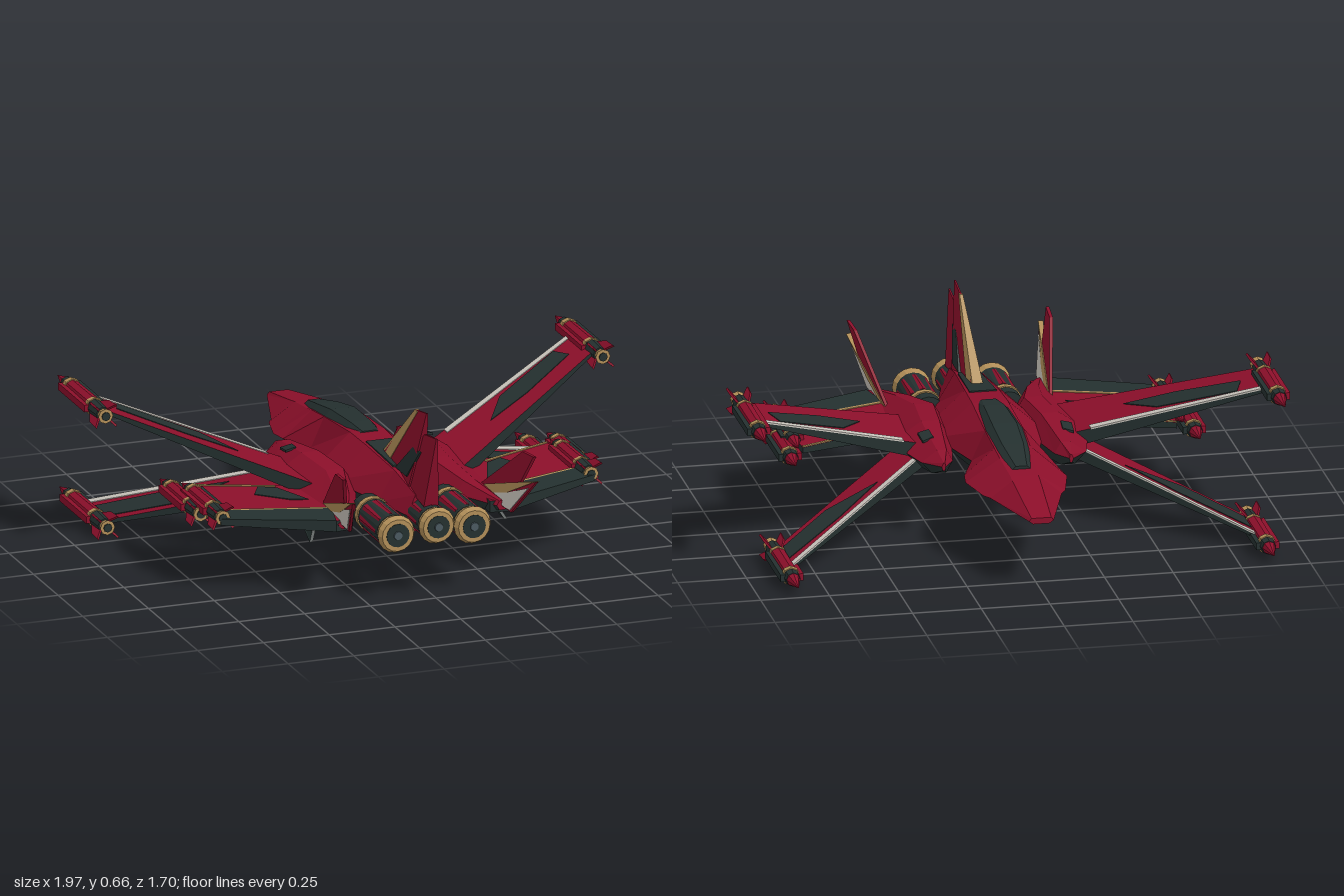
import * as THREE from 'three';

const mat = (name, color) => {
  const m = new THREE.MeshStandardMaterial({ color, flatShading: true });
  m.name = name;
  return m;
};

export function createModel() {
  const red = mat('crimson', 0x8c0f2a), dark = mat('charcoal', 0x24302f), tan = mat('bronze', 0xb08d57);
  const white = mat('offWhite', 0xc9c4bc), grey = mat('steel', 0x4a5960);
  const root = new THREE.Group();
  root.name = 'starfighter';

  // closed solid from convex faces [material, points], turned outward by its signed volume
  function solid(name, faces, parent = root) {
    const mats = [...new Set(faces.map(f => f[0]))];
    const tris = [];
    let vol = 0;
    for (const [m, p] of faces) for (let i = 1; i + 1 < p.length; i++) {
      const [a, b, c] = [p[0], p[i], p[i + 1]].map(q => new THREE.Vector3(...q));
      vol += a.dot(b.clone().cross(c));
      tris.push([m, a, b, c]);
    }
    const pos = [], geo = new THREE.BufferGeometry();
    mats.forEach((m, k) => {
      const start = pos.length / 3;
      for (const [tm, a, b, c] of tris) if (tm === m)
        for (const v of vol > 0 ? [a, b, c] : [a, c, b]) pos.push(v.x, v.y, v.z);
      geo.addGroup(start, pos.length / 3 - start, k);
    });
    geo.setAttribute('position', new THREE.Float32BufferAttribute(pos, 3));
    geo.computeVertexNormals();
    const mesh = new THREE.Mesh(geo, mats.length > 1 ? mats : mats[0]);
    mesh.name = name;
    parent.add(mesh);
    return mesh;
  }
  // skin through equal rings; sideMat picks the colour of each strip
  function loft(name, rings, sideMat, parent) {
    const n = rings[0].length, faces = [];
    for (let i = 0; i + 1 < rings.length; i++) for (let j = 0; j < n; j++) {
      const k = (j + 1) % n;
      faces.push([sideMat(j, i), [rings[i][j], rings[i][k], rings[i + 1][k], rings[i + 1][j]]]);
    }
    faces.push([sideMat(0, 0), [...rings[0]].reverse()], [sideMat(0, 0), rings.at(-1)]);
    return solid(name, faces, parent);
  }
  // slab between two matching outlines
  function slab(name, a, b, mA, mB = mA, mEdge = mA, parent = root) {
    const faces = [[mA, a], [mB, [...b].reverse()]];
    a.forEach((p, i) => {
      const k = (i + 1) % a.length;
      faces.push([mEdge, [p, b[i], b[k], a[k]]]);
    });
    return solid(name, faces, parent);
  }
  // round section along z
  function tube(name, m, rFront, rBack, x, y, z1, z2, parent, sides = 12) {
    const g = new THREE.CylinderGeometry(rBack, rFront, z2 - z1, sides).rotateX(Math.PI / 2);
    const mesh = new THREE.Mesh(g, m);
    mesh.position.set(x, y, (z1 + z2) / 2);
    mesh.name = name;
    parent.add(mesh);
  }

  // hull: z, top half width, top y, waist half width, waist y, keel half width, keel y
  const hull = [
    [-0.85, 0.036, 0.284, 0.045, 0.273, 0.03, 0.262],
    [-0.58, 0.05, 0.337, 0.13, 0.277, 0.06, 0.241],
    [-0.55, 0.05, 0.343, 0.15, 0.278, 0.06, 0.238],
    [-0.41, 0.06, 0.365, 0.185, 0.283, 0.06, 0.217],
    [-0.34, 0.065, 0.38, 0.175, 0.285, 0.06, 0.208],
    [-0.2, 0.07, 0.4, 0.12, 0.29, 0.06, 0.185],
    [0.05, 0.065, 0.42, 0.2, 0.3, 0.05, 0.163],
    [0.2, 0.06, 0.418, 0.19, 0.3, 0.05, 0.166],
    [0.45, 0.045, 0.4, 0.11, 0.29, 0.05, 0.195],
    [0.62, 0.03, 0.36, 0.06, 0.285, 0.04, 0.225],
  ];
  loft('hull', hull.map(([z, a, t, w, yw, b, k]) =>
    [[-a, t, z], [a, t, z], [w, yw, z], [b, k, z], [-b, k, z], [-w, yw, z]]),
  j => (j >= 2 && j <= 4 ? dark : red));

  // canopy and its raised roof
  const canopy = [[-0.5, 0.034, 0.35, 0.362], [-0.35, 0.064, 0.372, 0.396], [-0.2, 0.074, 0.392, 0.424],
    [-0.02, 0.062, 0.405, 0.432], [0.07, 0.042, 0.415, 0.424]];
  loft('canopy', canopy.map(([z, w, y, t]) =>
    [[-w * 0.6, t, z], [w * 0.6, t, z], [w, y, z], [w * 0.8, y - 0.05, z], [-w * 0.8, y - 0.05, z], [-w, y, z]]), () => dark);

  // central fin: two swept leaves, points as [z, y, half thickness]
  const centreFin = (name, pts, m) =>
    slab(name, pts.map(([z, y, t]) => [t, y, z]), pts.map(([z, y, t]) => [-t, y, z]), m);
  centreFin('tailFin', [[0.66, 0.675, 0.003], [0.55, 0.655, 0.003], [0.26, 0.4, 0.022], [0.56, 0.37, 0.034]], red);
  centreFin('tailFinEdge', [[0.55, 0.657, 0.006], [0.575, 0.655, 0.006], [0.34, 0.4, 0.027], [0.25, 0.405, 0.02]], tan);
  centreFin('rearTailFin', [[0.76, 0.61, 0.003], [0.64, 0.59, 0.003], [0.4, 0.38, 0.03], [0.7, 0.34, 0.028]], red);
  centreFin('tailFinPanel', [[0.63, 0.52, 0.018], [0.56, 0.52, 0.018], [0.43, 0.405, 0.036], [0.54, 0.405, 0.036]], dark);
  slab('spinePanel', [[-0.05, 0.423, 0.17], [0.05, 0.423, 0.17], [0.04, 0.409, 0.42], [-0.04, 0.409, 0.42]],
    [[-0.05, 0.414, 0.17], [0.05, 0.414, 0.17], [0.04, 0.4, 0.42], [-0.04, 0.4, 0.42]], dark);

  // engine with bands and a wide nozzle
  function engine(name, x, y, z1, z2, r) {
    const g = new THREE.Group();
    g.name = name;
    root.add(g);
    tube('engineBody', dark, r * 0.85, r * 0.88, x, y, z1, z2 - 0.05, g, 16);
    tube('engineBand', tan, r * 0.92, r * 0.92, x, y, z1 + 0.05, z1 + 0.075, g, 16);
    tube('engineShell', red, r * 0.9, r * 0.9, x, y, z1 + 0.09, z2 - 0.07, g, 8);
    tube('nozzle', tan, r * 0.86, r, x, y, z2 - 0.05, z2 - 0.02, g, 16);
    tube('nozzleRim', tan, r, r * 0.85, x, y, z2 - 0.02, z2, g, 16);
    tube('nozzleMouth', dark, r * 0.62, r * 0.62, x, y, z2 - 0.02, z2 + 0.002, g, 16);
    tube('nozzleCore', grey, r * 0.3, r * 0.22, x, y, z2 - 0.01, z2 + 0.006, g, 10);
  }
  engine('centreEngine', 0, 0.285, 0.45, 0.775, 0.068);

  // wingtip pod with cone, bands and crossed tail fins
  function pod(name, x, y, z, len) {
    const g = new THREE.Group();
    g.name = name;
    g.position.set(x, y, z);
    root.add(g);
    const parts = [['podNose', red, 0.002, 0.024, 0, 0.18], ['podCollar', dark, 0.026, 0.03, 0.18, 0.25],
      ['podBand', tan, 0.034, 0.034, 0.25, 0.3], ['podBody', red, 0.03, 0.032, 0.3, 0.72],
      ['podRearBand', tan, 0.034, 0.034, 0.72, 0.76], ['podTail', dark, 0.03, 0.026, 0.76, 0.93],
      ['podNozzle', tan, 0.02, 0.028, 0.93, 0.99], ['podMouth', dark, 0.016, 0.016, 0.97, 1]];
    for (const [n, m, a, b, p, q] of parts) tube(n, m, a, b, 0, 0, p * len, q * len, g, 8);
    for (const s of [-1, 1]) {
      const rail = new THREE.Mesh(new THREE.BoxGeometry(0.018, 0.026, len * 0.55), s > 0 ? dark : red);
      rail.position.set(s * 0.033, 0, len * 0.5);
      rail.name = 'podRail';
      g.add(rail);
    }
    for (let i = 0; i < 4; i++) {
      const t = 0.004, o = [[0.02, 0.74], [0.052, 0.87], [0.055, 1], [0.02, 0.93]];
      const fin = slab('podFin', o.map(([r, f]) => [r, t, f * len]), o.map(([r, f]) => [r, -t, f * len]), red, red, red, g);
      fin.rotation.z = Math.PI / 4 + i * Math.PI / 2;
    }
  }

  // wing: in/out = [x, y, half thickness]; outline and painted patches as [x, z]
  function wing(name, s, inner, outer, outline, patches) {
    const g = new THREE.Group();
    g.name = name;
    root.add(g);
    const at = (side, lift) => ([x, z]) => {
      const u = (x - inner[0]) / (outer[0] - inner[0]);
      const y = inner[1] + (outer[1] - inner[1]) * u, t = inner[2] + (outer[2] - inner[2]) * u;
      return [s * x, y + side * t + lift, z];
    };
    slab('wingPanel', outline.map(at(1, 0)), outline.map(at(-1, 0)), red, dark, dark, g);
    for (const [n, m, p] of patches) slab(n, p.map(at(1, 0.003)), p.map(at(1, -0.003)), m, m, m, g);
  }

  for (const s of [1, -1]) {
    const side = s > 0 ? 'left' : 'right';
    engine(side + 'Engine', s * 0.145, 0.262, 0.43, 0.75, 0.07);

    // shoulder: z, inner x, outer x, top y, bottom y
    const shoulder = [[-0.26, 0.225, 0.24, 0.31, 0.28], [-0.19, 0.185, 0.3, 0.335, 0.25], [0.05, 0.14, 0.36, 0.365, 0.215],
      [0.25, 0.12, 0.345, 0.36, 0.21], [0.45, 0.19, 0.33, 0.33, 0.235], [0.62, 0.28, 0.325, 0.3, 0.265]];
    loft(side + 'Shoulder', shoulder.map(([z, a, b, t, k]) => {
      const w = b - a, m = (t + k) / 2;
      return [[a + w * 0.2, t, z], [a + w * 0.5, t, z], [b, m, z], [a + w * 0.65, k, z], [a + w * 0.2, k, z], [a, m, z]]
        .map(([x, y, q]) => [s * x, y, q]);
    }), j => (j >= 2 && j <= 4 ? dark : red));
    const vent = [[0.235, 0.349, -0.09], [0.275, 0.337, -0.1], [0.28, 0.347, -0.03], [0.24, 0.357, -0.03]];
    slab(side + 'Vent', vent.map(([x, y, z]) => [s * x, y + 0.004, z]), vent.map(([x, y, z]) => [s * x, y - 0.004, z]), dark);

    wing(side + 'UpperWing', s, [0.28, 0.29, 0.028], [0.93, 0.54, 0.007],
      [[0.28, -0.05], [0.93, -0.36], [0.93, -0.14], [0.28, 0.27]],
      [['leadingStrip', white, [[0.34, -0.08], [0.93, -0.362], [0.93, -0.335], [0.34, -0.045]]],
        ['darkPanel', dark, [[0.48, 0.02], [0.57, -0.13], [0.83, -0.28], [0.86, -0.2], [0.65, -0.06]]]]);
    wing(side + 'LowerWing', s, [0.26, 0.265, 0.024], [0.85, 0.055, 0.007],
      [[0.26, -0.07], [0.85, -0.56], [0.85, -0.33], [0.26, 0.15]],
      [['leadingStrip', white, [[0.3, -0.104], [0.85, -0.562], [0.85, -0.528], [0.3, -0.07]]],
        ['darkPanel', dark, [[0.45, -0.15], [0.62, -0.31], [0.84, -0.48], [0.84, -0.36], [0.65, -0.2]]]]);
    wing(side + 'RearWing', s, [0.26, 0.275, 0.022], [0.71, 0.285, 0.01],
      [[0.26, 0.23], [0.68, 0.05], [0.71, 0.46], [0.33, 0.62], [0.26, 0.6]],
      [['leadingTrim', tan, [[0.4, 0.172], [0.68, 0.052], [0.68, 0.064], [0.4, 0.186]]],
        ['darkPanel', dark, [[0.4, 0.2], [0.46, 0.165], [0.5, 0.24], [0.4, 0.34], [0.34, 0.36]]],
        ['trailingTrim', tan, [[0.3, 0.47], [0.7, 0.345], [0.7, 0.358], [0.3, 0.485]]],
        ['trailingPanel', dark, [[0.3, 0.485], [0.7, 0.358], [0.71, 0.46], [0.33, 0.62]]]]);

    pod(side + 'UpperPod', s * 0.945, 0.542, -0.565, 0.49);
    pod(side + 'LowerPod', s * 0.865, 0.052, -0.76, 0.49);
    pod(side + 'RearOuterPod', s * 0.735, 0.278, -0.09, 0.42);
    pod(side + 'RearInnerPod', s * 0.7, 0.3, 0.04, 0.42);

    // canted fin leaves, points as [z, y]
    const leaf = (name, m, t, pts) => {
      const out = d => ([z, y]) => [s * (0.3 + (y - 0.29) * 0.22 + (z - 0.5) * 0.05 + d), y, z];
      slab(side + name, pts.map(out(t)), pts.map(out(-t)), m);
    };
    leaf('Fin', red, 0.006, [[0.785, 0.508], [0.69, 0.5], [0.4, 0.29], [0.66, 0.28]]);
    leaf('FinTip', red, 0.005, [[0.845, 0.435], [0.6, 0.34], [0.4, 0.28], [0.7, 0.28]]);
    leaf('FinTrim', tan, 0.009, [[0.845, 0.437], [0.62, 0.365], [0.39, 0.29], [0.45, 0.28], [0.64, 0.335]]);
    leaf('FinPanel', white, 0.008, [[0.8, 0.4], [0.64, 0.335], [0.45, 0.28], [0.69, 0.285]]);

    // ventral fin
    const keel = [[0.31, 0.26, 0.18], [0.33, 0.25, 0.42], [0.37, 0.175, 0.47], [0.355, 0.2, 0.36]];
    slab(side + 'VentralFin', keel.map(([x, y, z]) => [s * (x + 0.006), y, z]),
      keel.map(([x, y, z]) => [s * (x - 0.006), y, z]), dark);
  }
  return root;
}
